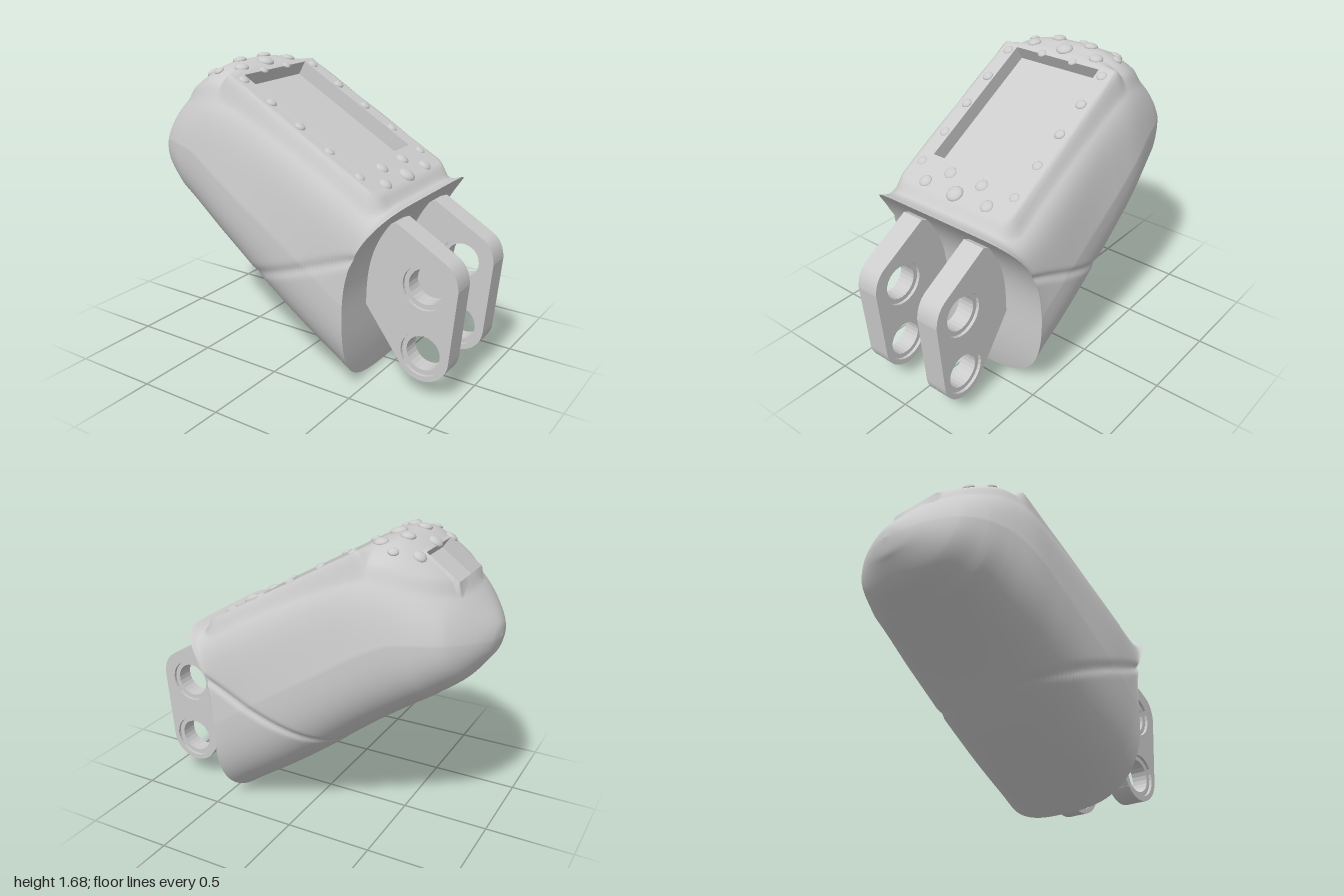
import * as THREE from 'three';

const grey = new THREE.MeshStandardMaterial({ color: 0xcccccc });
const greyDouble = new THREE.MeshStandardMaterial({ color: 0xcccccc, side: THREE.DoubleSide });
const SIDES = 240, STEPS = 14;

// Shell stations from the open end to the tip: upper x,y / half width / lower x,y / top squareness
const stations = [
  [0.70, 1.06, 0.53, 0.425, 0, 6.5], [0.62, 1.05, 0.53, 0.33, 0.07, 6],
  [0.35, 1.205, 0.54, 0.1, 0.23, 5.5], [0.05, 1.375, 0.54, -0.1, 0.38, 5.5],
  [-0.2, 1.515, 0.54, -0.27, 0.52, 5], [-0.38, 1.61, 0.53, -0.45, 0.66, 4],
  [-0.5, 1.635, 0.5, -0.62, 0.78, 3.2], [-0.64, 1.575, 0.46, -0.76, 0.875, 2.7],
  [-0.78, 1.475, 0.385, -0.88, 0.965, 2.4], [-0.91, 1.345, 0.23, -0.955, 1.06, 2.2],
  [-0.985, 1.25, 0.1, -0.985, 1.115, 2], [-1, 1.18, 0, -1, 1.18, 2],
];

// Rectangular recesses cut square to the surface: rim from x0 to x1, half width w
const cuts = [
  { name: 'windowRecess', x0: -0.33, x1: 0.39, w: 0.285, y0: 1.62, slope: -0.569, depth: 0.09 },
  { name: 'tipNotch', x0: -0.81, x1: -0.63, w: 0.165, y0: 1.48, slope: 0.72, depth: 0.075 },
];
const rimY = (c, x) => c.y0 + c.slope * (x - c.x0);

// 0..1 mask of the raised rounded panel on top
function panelMask(x, z) {
  const r = x < -0.1 ? 0.4 : 0.1;
  const qx = Math.abs(x + 0.115) - 0.735 + r, qz = Math.abs(z) - 0.43 + r;
  const d = Math.min(Math.max(qx, qz), 0) + Math.hypot(Math.max(qx, 0), Math.max(qz, 0)) - r;
  return THREE.MathUtils.smoothstep(-d, 0, 0.05);
}

// Move a vertex that lies close to a recess rim exactly onto it
function snapToCut(p) {
  const e = 0.011;
  for (const c of cuts) {
    const az = Math.abs(p.z);
    if (p.x < c.x0 - e || p.x > c.x1 + e || az > c.w + e) continue;
    let hit = false;
    for (const edge of [c.x0, c.x1]) {
      if (Math.abs(p.x - edge) < e) { p.x = edge; hit = true; }
    }
    if (Math.abs(az - c.w) < e) { p.z = Math.sign(p.z) * c.w; hit = true; }
    if (hit) p.y = rimY(c, p.x);
  }
}

// One point of the shell: t runs from open end to tip, angle from the top round
function shellPoint(t, angle, upper, lower) {
  const { smoothstep, lerp } = THREE.MathUtils;
  const T = upper.getPoint(t), B = lower.getPoint(t);
  const c = Math.cos(angle), s = Math.sin(angle);
  const n = c > 0 ? B.z : Math.min(2.8, B.z);
  const r = Math.pow(Math.abs(c) ** n + Math.abs(s) ** n, -1 / n);
  const h = r * c, f = (h + 1) / 2;
  const taper = 1 - lerp(0.04, 0.15, Math.min(1, t * 3)) * Math.max(0, h);
  const p = new THREE.Vector3(lerp(B.x, T.x, f), lerp(B.y, T.y, f), Math.max(0, T.z) * r * s * taper);
  // hollowed open end
  const fade = Math.max(0, 1 - t / 0.25) ** 2;
  p.x -= 0.12 * Math.sin(Math.PI * Math.min(1, f) ** 1.8) * fade;
  // diagonal side groove
  if (p.x > -0.35) {
    p.z *= 1 - 0.03 * Math.exp(-(((p.y - 0.52 - 0.36 * (p.x + 0.26)) / 0.02) ** 2));
  }
  // raised top panel: flat along the slope, following the curve at the tip
  if (h > 0.5) {
    const m = panelMask(p.x, p.z) * smoothstep(h, 0.55, 0.8);
    const flat = smoothstep(p.x, -0.42, -0.34);
    p.y += m * lerp(0.03, 1.432 - 0.569 * p.x - p.y, flat);
    snapToCut(p);
  }
  return p;
}

function shellGeometries() {
  const upper = new THREE.CatmullRomCurve3(stations.map(s => new THREE.Vector3(s[0], s[1], s[2])));
  const lower = new THREE.CatmullRomCurve3(stations.map(s => new THREE.Vector3(s[3], s[4], s[5])));
  const rings = (stations.length - 1) * STEPS;
  const pts = [], index = [], capIndex = [];
  for (let k = 0; k <= rings; k++) {
    for (let i = 0; i < SIDES; i++) pts.push(shellPoint(k / rings, (i / SIDES) * Math.PI * 2, upper, lower));
  }
  const inCut = (a, b, d) => {
    const m = pts[a].clone().add(pts[b]).add(pts[d]).divideScalar(3);
    return cuts.some(c => m.x > c.x0 && m.x < c.x1 && Math.abs(m.z) < c.w && Math.abs(m.y - rimY(c, m.x)) < 0.07);
  };
  const tri = (a, b, c) => { if (!inCut(a, b, c)) index.push(a, b, c); };
  for (let k = 0; k < rings; k++) {
    for (let i = 0; i < SIDES; i++) {
      const j = (i + 1) % SIDES, a = k * SIDES + i, b = k * SIDES + j;
      tri(a, a + SIDES, b);
      tri(b, a + SIDES, b + SIDES);
    }
  }
  // end face, strips straight across
  for (let i = 0; i < SIDES / 2; i++) {
    const m = (SIDES - i) % SIDES, n = SIDES - i - 1;
    capIndex.push(i, i + 1, m, i + 1, n, m);
  }
  const make = (points, idx) => {
    const g = new THREE.BufferGeometry().setFromPoints(points);
    g.setIndex(idx);
    g.computeVertexNormals();
    return g;
  };
  return [make(pts, index), make(pts.slice(0, SIDES), capIndex)];
}

// Open-topped box lining a recess
function recess(c) {
  const dy = c.slope * (c.x1 - c.x0);
  const g = new THREE.BoxGeometry(Math.hypot(c.x1 - c.x0, dy), c.depth, c.w * 2);
  g.setIndex([...g.index.array].filter((_, i) => i < 12 || i >= 18));
  g.translate(0, -c.depth / 2, 0);
  const mesh = new THREE.Mesh(g, greyDouble);
  mesh.name = c.name;
  mesh.position.set((c.x0 + c.x1) / 2, c.y0 + dy / 2, 0);
  mesh.rotation.z = Math.atan(c.slope);
  return mesh;
}

// Hinge lug with two counterbored holes, made of three layers
function hingeLug(z0) {
  const lug = new THREE.Group();
  lug.name = 'hingeLug';
  const layers = [[0, 0.018, 0.125], [0.018, 0.099, 0.098], [0.117, 0.018, 0.125]];
  for (const [z, depth, radius] of layers) {
    const s = new THREE.Shape();
    s.moveTo(0.38, 0.58);
    s.lineTo(0.685, 0.17);
    s.absarc(0.81, 0.26, 0.155, Math.PI * 1.2, Math.PI * 1.98, false);
    s.lineTo(1, 0.66);
    s.quadraticCurveTo(0.995, 0.76, 0.92, 0.8);
    s.lineTo(0.64, 0.96);
    s.lineTo(0.5, 0.9);
    for (const y of [0.26, 0.64]) s.holes.push(new THREE.Path().absarc(0.81, y, radius, 0, Math.PI * 2, true));
    const g = new THREE.ExtrudeGeometry(s, { depth, bevelEnabled: false, curveSegments: 12 });
    const mesh = new THREE.Mesh(g, grey);
    mesh.name = 'lugLayer';
    mesh.position.z = z0 + z;
    lug.add(mesh);
  }
  return lug;
}

// Flattened studs seated on the shell surface: x, z, radius (mirrored in z)
function studs(shell) {
  const group = new THREE.Group();
  group.name = 'studs';
  const list = [[-0.615, 0.215, 0.037], [-0.505, 0.29, 0.029], [-0.405, 0.215, 0.04], [-0.505, 0.11, 0.04],
    [-0.61, 0, 0.042], [-0.405, 0, 0.048], [-0.335, 0.105, 0.025],
    [0.445, 0.11, 0.037], [0.53, 0.215, 0.037], [0.535, 0, 0.048]];
  for (const x of [-0.3, -0.115, 0.07, 0.255, 0.44]) list.push([x, 0.325, 0.03]);
  const pos = shell.attributes.position, nor = shell.attributes.normal;
  const geo = new THREE.SphereGeometry(1, 20, 12);
  for (const [x, z, r] of list) {
    for (const side of z ? [1, -1] : [1]) {
      let best = 0, bestD = Infinity;
      for (let i = 0; i < pos.count; i++) {
        if (nor.getY(i) < 0.3) continue;
        const d = Math.hypot(pos.getX(i) - x, pos.getZ(i) - side * z);
        if (d < bestD) { bestD = d; best = i; }
      }
      const stud = new THREE.Mesh(geo, grey);
      stud.name = 'stud';
      stud.position.set(x, pos.getY(best), side * z);
      stud.quaternion.setFromUnitVectors(new THREE.Vector3(0, 1, 0), new THREE.Vector3().fromBufferAttribute(nor, best));
      stud.scale.set(r, r * 0.5, r);
      group.add(stud);
    }
  }
  return group;
}

export function createModel() {
  const model = new THREE.Group();
  const [shellGeo, endGeo] = shellGeometries();
  const shell = new THREE.Mesh(shellGeo, grey);
  shell.name = 'shell';
  const end = new THREE.Mesh(endGeo, grey);
  end.name = 'endFace';
  model.add(shell, end, studs(shellGeo), hingeLug(0.15), hingeLug(-0.285));
  for (const c of cuts) model.add(recess(c));
  return model;
}
